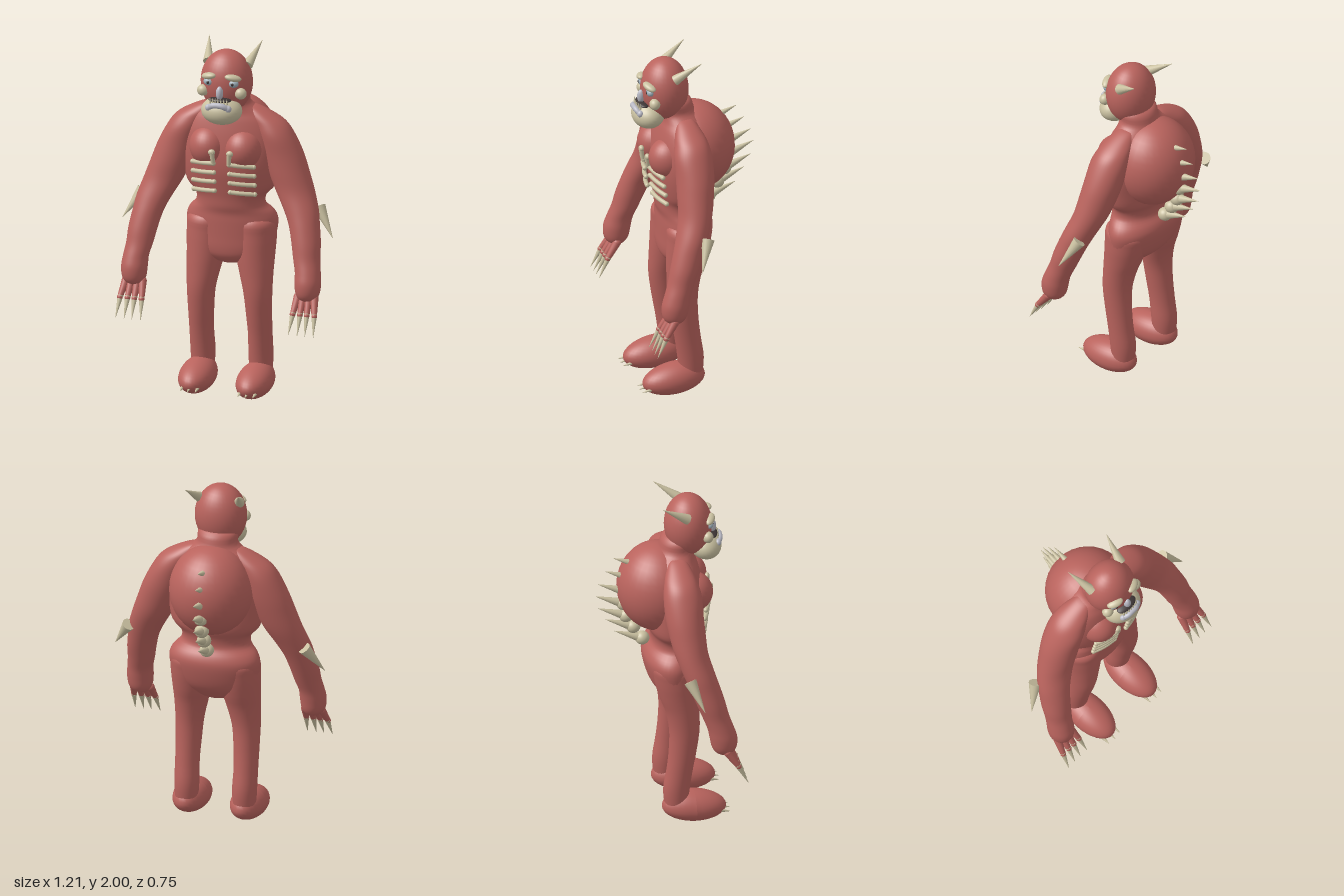
import * as THREE from 'three';

const material = (name, color) => Object.assign(new THREE.MeshStandardMaterial({ color }), { name });
const skin = material('red skin', 0xb9635d);
const bone = material('bone', 0xc9c0a0);
const grey = material('pale grey', 0xb9b9c4);
const eyeBlue = material('eye blue grey', 0x9fb0ba);
const dark = material('dark', 0x3c3434);

const V = (x, y, z) => new THREE.Vector3(x, y, z);

function add(parent, name, geometry, mat) {
  const mesh = new THREE.Mesh(geometry, mat);
  mesh.name = name;
  parent.add(mesh);
  return mesh;
}

function ellipsoid(parent, name, pos, radii, mat, tilt = 0) {
  const mesh = add(parent, name, new THREE.SphereGeometry(1, 32, 20), mat);
  mesh.position.set(...pos);
  mesh.scale.set(...radii);
  mesh.rotation.z = tilt;
  return mesh;
}

// Tapered round rod from a to b
function rod(parent, name, a, b, ra, rb, mat) {
  const d = b.clone().sub(a);
  const mesh = add(parent, name, new THREE.CylinderGeometry(rb, ra, d.length(), 16), mat);
  mesh.position.copy(a).addScaledVector(d, 0.5);
  mesh.quaternion.setFromUnitVectors(V(0, 1, 0), d.normalize());
  return mesh;
}

// Smooth skin through level ellipses [x, y, z, rx, rz], listed from bottom to top
function loft(parent, name, sections, mat, side = 1) {
  const centres = new THREE.CatmullRomCurve3(sections.map(s => V(s[0] * side, s[1], s[2])), false, 'catmullrom');
  const radii = new THREE.CatmullRomCurve3(sections.map(s => V(s[3], s[4], 0)), false, 'catmullrom');
  const rings = (sections.length - 1) * 4, n = 40;
  const pos = [], index = [];
  for (let i = 0; i <= rings; i++) {
    const c = centres.getPoint(i / rings), r = radii.getPoint(i / rings);
    for (let j = 0; j < n; j++) {
      const a = j / n * Math.PI * 2;
      pos.push(c.x + Math.max(r.x, 0.001) * Math.cos(a), c.y, c.z + Math.max(r.y, 0.001) * Math.sin(a));
      if (i === rings) continue;
      const p = i * n + j, q = i * n + (j + 1) % n;
      index.push(p, p + n, q, q, p + n, q + n);
    }
  }
  const g = new THREE.BufferGeometry();
  g.setAttribute('position', new THREE.Float32BufferAttribute(pos, 3));
  g.setIndex(index);
  g.computeVertexNormals();
  return add(parent, name, g, mat);
}

function buildTorso(root) {
  const torso = new THREE.Group();
  torso.name = 'torso';
  root.add(torso);
  loft(torso, 'trunk', [
    [0, 0.735, 0.07, 0.001, 0.001], [0, 0.75, 0.07, 0.08, 0.06], [0, 0.79, 0.065, 0.18, 0.1],
    [0, 0.84, 0.05, 0.235, 0.125], [0, 0.91, 0.037, 0.25, 0.138], [0, 0.99, 0.03, 0.258, 0.145],
    [0, 1.04, 0.037, 0.238, 0.138], [0, 1.085, 0.058, 0.197, 0.128], [0, 1.14, 0.06, 0.2, 0.132],
    [0, 1.2, 0.055, 0.25, 0.148], [0, 1.3, 0.06, 0.27, 0.16], [0, 1.4, 0.06, 0.28, 0.16],
    [0, 1.5, 0.06, 0.27, 0.145], [0, 1.58, 0.06, 0.23, 0.125], [0, 1.63, 0.06, 0.17, 0.11],
    [0, 1.675, 0.075, 0.115, 0.1], [0, 1.74, 0.1, 0.105, 0.095], [0, 1.77, 0.12, 0.001, 0.001],
  ], skin);
  ellipsoid(torso, 'backHump', [0, 1.425, -0.025], [0.235, 0.257, 0.23], skin);

  // Spine: a knuckle of bone with a spike, following the hump
  const tips = [[1.155, -0.27], [1.235, -0.32], [1.31, -0.36], [1.39, -0.375], [1.465, -0.36], [1.545, -0.32], [1.625, -0.275]];
  for (const [y, z] of tips) {
    ellipsoid(torso, 'vertebra', [0, y - 0.06, z + 0.155], [0.04, 0.038, 0.04], bone);
    rod(torso, 'spineSpike', V(0, y - 0.055, z + 0.14), V(0, y, z), 0.026, 0.001, bone);
  }

  for (const s of [1, -1]) {
    ellipsoid(torso, 'pectoral', [s * 0.1, 1.425, 0.145], [0.108, 0.115, 0.115], skin);
    // Exposed ribs lying along the chest
    for (const [i, y] of [1.355, 1.3, 1.245, 1.19].entries()) {
      const points = [0.045, 0.09, 0.135, 0.175].map((x, k) =>
        V(s * x, y - k * 0.004, 0.06 + 0.165 * Math.sqrt(1 - (x / 0.27) ** 2) + 0.022 - i * 0.007));
      const rib = new THREE.TubeGeometry(new THREE.CatmullRomCurve3(points), 16, 0.0125, 10);
      add(torso, 'rib', rib, bone);
      for (const end of [points[0], points[3]]) ellipsoid(torso, 'ribEnd', end.toArray(), [0.0135, 0.0135, 0.0135], bone);
    }
    rod(torso, 'breastbone', V(s * 0.045, 1.36, 0.25), V(s * 0.05, 1.42, 0.258), 0.012, 0.013, bone);
    ellipsoid(torso, 'breastboneKnob', [s * 0.052, 1.422, 0.255], [0.02, 0.017, 0.015], bone);
  }
}

function buildArm(root, s) {
  const arm = new THREE.Group();
  arm.name = s > 0 ? 'leftArm' : 'rightArm';
  root.add(arm);
  loft(arm, 'armAndPalm', [
    [0.495, 0.612, 0.25, 0.001, 0.001], [0.495, 0.625, 0.25, 0.042, 0.042], [0.497, 0.66, 0.25, 0.066, 0.068],
    [0.497, 0.72, 0.245, 0.073, 0.076], [0.492, 0.78, 0.23, 0.071, 0.073], [0.478, 0.85, 0.205, 0.075, 0.074],
    [0.467, 0.93, 0.18, 0.081, 0.08], [0.447, 1.02, 0.15, 0.086, 0.084], [0.42, 1.1, 0.122, 0.098, 0.087],
    [0.375, 1.2, 0.09, 0.11, 0.092], [0.335, 1.3, 0.075, 0.115, 0.1], [0.298, 1.4, 0.065, 0.115, 0.105],
    [0.26, 1.5, 0.063, 0.102, 0.105], [0.22, 1.565, 0.06, 0.095, 0.09], [0.17, 1.61, 0.06, 0.078, 0.07],
    [0.12, 1.65, 0.06, 0.04, 0.04], [0.1, 1.66, 0.06, 0.001, 0.001],
  ], skin, s);
  rod(arm, 'elbowSpike', V(s * 0.505, 1.1, 0.06), V(s * 0.602, 0.95, 0.125), 0.036, 0.001, bone);
  // Four fingers with long claws, fanned out
  for (const [x0, x1, x2] of [[0.54, 0.557, 0.567], [0.508, 0.514, 0.518], [0.475, 0.475, 0.474], [0.445, 0.433, 0.423]]) {
    const knuckle = V(s * x0, 0.64, 0.262), joint = V(s * x1, 0.555, 0.32), tip = V(s * x2, 0.45, 0.372);
    rod(arm, 'finger', knuckle, joint, 0.023, 0.015, skin);
    ellipsoid(arm, 'knuckle', knuckle.toArray(), [0.023, 0.023, 0.023], skin);
    ellipsoid(arm, 'fingerTip', joint.toArray(), [0.016, 0.016, 0.016], skin);
    rod(arm, 'fingerClaw', joint.clone().lerp(knuckle, 0.1), tip, 0.0165, 0.001, bone);
  }
}

function buildLeg(root, s) {
  const leg = new THREE.Group();
  leg.name = s > 0 ? 'leftLeg' : 'rightLeg';
  root.add(leg);
  loft(leg, 'thighAndShin', [
    [0.167, 0.06, 0.045, 0.06, 0.06], [0.166, 0.2, 0.045, 0.068, 0.073], [0.168, 0.33, 0.063, 0.067, 0.073],
    [0.166, 0.45, 0.08, 0.071, 0.077], [0.162, 0.58, 0.09, 0.079, 0.084], [0.15, 0.7, 0.08, 0.095, 0.094],
    [0.14, 0.8, 0.062, 0.109, 0.11], [0.135, 0.92, 0.045, 0.118, 0.122], [0.13, 1.0, 0.04, 0.11, 0.115],
    [0.12, 1.05, 0.045, 0.001, 0.001],
  ], skin, s);
  // Foot: a ball stretched forward, lower toward the toes and flattened underneath
  const g = new THREE.SphereGeometry(1, 32, 20), p = g.attributes.position;
  for (let i = 0; i < p.count; i++) {
    const y = p.getY(i), z = p.getZ(i);
    p.setXYZ(i, p.getX(i) * 0.1, y * 0.093 * (y > 0 ? 1 - 0.12 * z : 0.9) - 0.01 * z, z * 0.178);
  }
  g.computeVertexNormals();
  add(leg, 'foot', g, skin).position.set(s * 0.165, 0.086, 0.143);
  for (const dx of [-0.043, 0, 0.043]) {
    const x = s * (0.165 + dx), back = Math.abs(dx) * 0.25;
    rod(leg, 'toeClaw', V(x, 0.063, 0.28 - back), V(x, 0.05, 0.342 - back * 0.5), 0.014, 0.001, bone);
  }
}

function buildHead(root) {
  const head = new THREE.Group();
  head.name = 'head';
  root.add(head);
  ellipsoid(head, 'skull', [0, 1.805, 0.14], [0.145, 0.18, 0.132], skin);
  ellipsoid(head, 'jaw', [0, 1.665, 0.235], [0.115, 0.078, 0.09], bone).rotation.x = 0.15;
  ellipsoid(head, 'nose', [0, 1.775, 0.275], [0.02, 0.04, 0.022], grey);
  // Thick lip arching over the jaw
  const lip = new THREE.CatmullRomCurve3([V(-0.055, 1.695, 0.298), V(-0.03, 1.712, 0.312), V(0, 1.716, 0.314), V(0.03, 1.712, 0.312), V(0.055, 1.695, 0.298)]);
  add(head, 'lip', new THREE.TubeGeometry(lip, 24, 0.016, 12), grey);
  ellipsoid(head, 'mouth', [0, 1.735, 0.268], [0.065, 0.014, 0.035], dark);
  for (let i = -3; i <= 3; i++) {
    const x = i * 0.016, z = 0.305 - x * x * 4;
    rod(head, 'tooth', V(x, 1.72, z), V(x, 1.752, z), 0.007, 0.001, bone);
  }
  for (const s of [1, -1]) {
    ellipsoid(head, 'lipCorner', [s * 0.055, 1.696, 0.298], [0.02, 0.02, 0.018], grey);
    ellipsoid(head, 'eye', [s * 0.07, 1.828, 0.246], [0.03, 0.022, 0.022], eyeBlue);
    ellipsoid(head, 'pupil', [s * 0.07, 1.828, 0.265], [0.009, 0.009, 0.005], dark);
    ellipsoid(head, 'brow', [s * 0.07, 1.862, 0.25], [0.047, 0.019, 0.026], bone, -s * 0.2).rotation.y = s * 0.4;
    ellipsoid(head, 'cheekKnob', [s * 0.108, 1.77, 0.232], [0.033, 0.032, 0.03], bone);
    rod(head, 'horn', V(s * 0.112, 1.9, 0.118), V(s * 0.152, 2, -0.025), 0.03, 0.001, bone);
  }
}

export function createModel() {
  const root = new THREE.Group();
  root.name = 'hornedCreature';
  buildTorso(root);
  buildHead(root);
  for (const s of [1, -1]) {
    buildArm(root, s);
    buildLeg(root, s);
  }
  return root;
}
